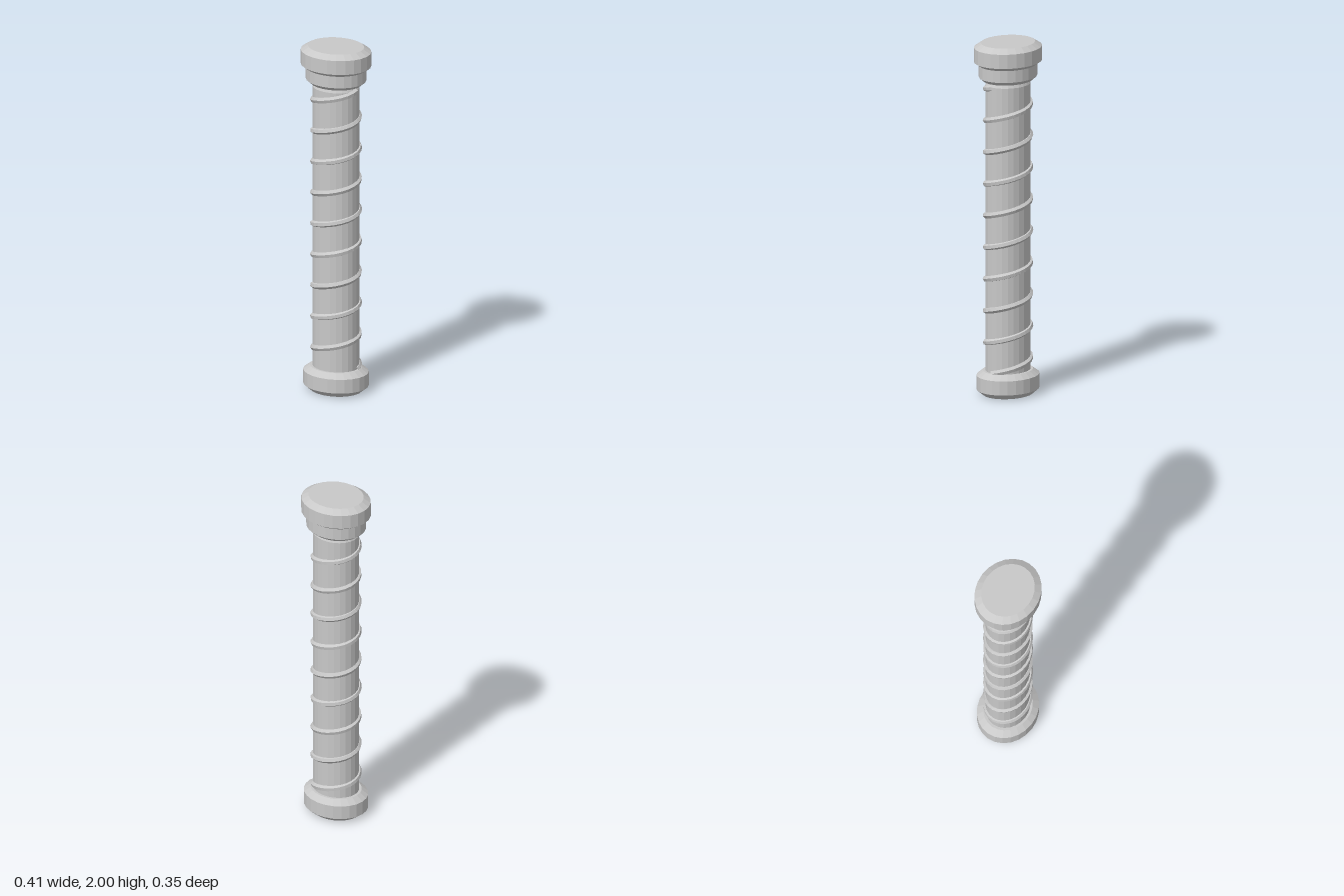
import * as THREE from 'three';

const SIDES = 24;
const DEPTH = 0.865; // oval cross-section: z radius relative to x radius

export function createModel() {
  const model = new THREE.Group();
  model.name = 'threadedColumn';
  const steel = new THREE.MeshStandardMaterial({ color: 0xc8c8c8 });
  steel.name = 'steel grey';
  steel.flatShading = true;

  // Closed oval turned part from [radius, height] pairs, bottom to top
  const turned = (name, profile) => {
    const points = profile.map(([r, y]) => new THREE.Vector2(r, y));
    const mesh = new THREE.Mesh(new THREE.LatheGeometry(points, SIDES).scale(1, 1, DEPTH), steel);
    mesh.name = name;
    model.add(mesh);
  };

  turned('base', [[0, 0], [0.15, 0], [0.188, 0.03], [0.188, 0.11], [0.15, 0.137], [0, 0.137]]);
  turned('shaft', [[0, 0.1], [0.135, 0.1], [0.135, 1.765], [0.122, 1.79], [0, 1.79]]);
  turned('collar', [[0, 1.786], [0.148, 1.786], [0.174, 1.807], [0.174, 1.875], [0.16, 1.89], [0, 1.89]]);
  turned('cap', [[0, 1.875], [0.174, 1.875], [0.203, 1.894], [0.203, 1.975], [0.162, 2], [0, 2]]);

  // Raised thread: nine turns climbing from the base to the collar
  class Helix extends THREE.Curve {
    getPoint(t, target = new THREE.Vector3()) {
      const a = t * 9 * Math.PI * 2;
      return target.set(0.131 * Math.cos(a), 0.135 + 1.626 * t, -0.114 * Math.sin(a));
    }
  }
  const thread = new THREE.Mesh(new THREE.TubeGeometry(new Helix(), 9 * SIDES, 0.018, 6, false), steel);
  thread.name = 'thread';
  model.add(thread);

  return model;
}
